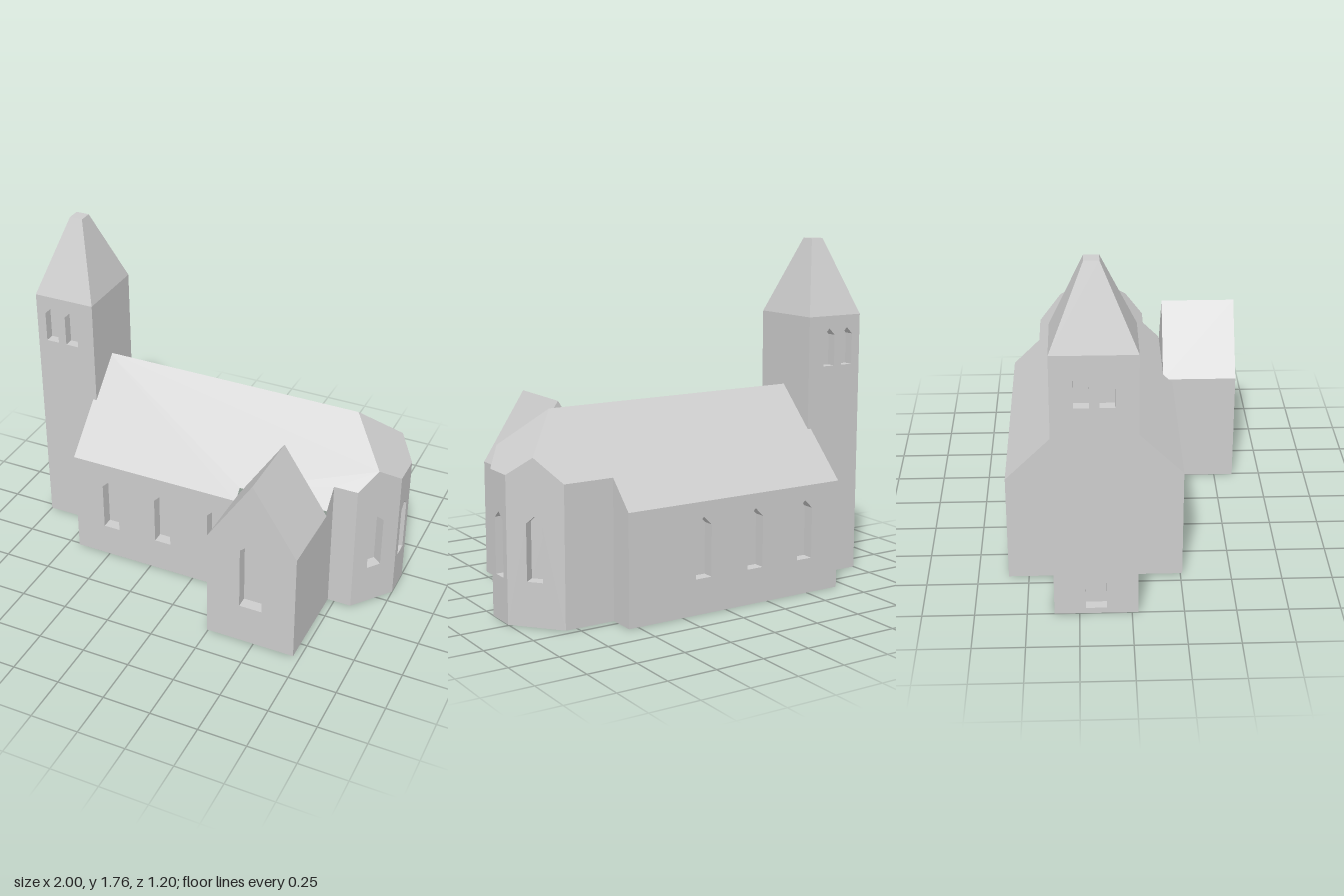
import * as THREE from 'three';
import { mergeGeometries } from 'three/addons/utils/BufferGeometryUtils.js';

const stone = new THREE.MeshStandardMaterial({ color: 0xcccccc });
stone.name = 'pale stone';

const RIDGE_Z = -0.16, RIDGE_END = 0.725;
// Height of the main roof: two 45 degree slopes, plus a hip over the apse
const roofHeight = (x, z) => 1 - Math.max(Math.abs(z - RIDGE_Z), x - RIDGE_END, 0);

const vectors = (pts) => pts.map(([x, y]) => new THREE.Vector2(x, y));

function quad(a, b, c, d) {
  const g = new THREE.BufferGeometry();
  g.setAttribute('position', new THREE.Float32BufferAttribute([a, b, c, a, c, d].flat(), 3));
  g.computeVertexNormals();
  return g;
}

function flat(shape) {
  const g = new THREE.ShapeGeometry(shape).toNonIndexed();
  g.deleteAttribute('uv');
  return g;
}

function addMesh(group, name, geometry) {
  const mesh = new THREE.Mesh(geometry, stone);
  mesh.name = name;
  group.add(mesh);
}

// Wall from ground point a to b (outside on the right), with a top outline
// of [distance, height] points and recessed pointed windows
function addWall(group, name, a, b, top, windows = [], depth = 0.06) {
  const dx = b[0] - a[0], dz = b[1] - a[1], len = Math.hypot(dx, dz);
  const outline = typeof top === 'number' ? [[len, top], [0, top]] : [...top].reverse();
  const shape = new THREE.Shape(vectors([[0, 0], [len, 0], ...outline]));
  const parts = [];
  for (const [c, w, sill, spring, peak] of windows) {
    const l = c - w / 2, r = c + w / 2;
    const hole = [[l, sill], [r, sill], [r, spring], [c, peak], [l, spring]];
    shape.holes.push(new THREE.Path(vectors(hole)));
    parts.push(flat(new THREE.Shape(vectors(hole))).translate(0, 0, -depth));
    hole.forEach((p, i) => {
      const q = hole[(i + 1) % hole.length];
      parts.push(quad([...p, 0], [...q, 0], [...q, -depth], [...p, -depth]));
    });
  }
  const geometry = mergeGeometries([flat(shape), ...parts]);
  geometry.rotateY(Math.atan2(-dz, dx)).translate(a[0], 0, a[1]);
  addMesh(group, name, geometry);
}

// Flat polygon in plan lifted onto the main roof
function addRoof(group, name, plan) {
  const g = flat(new THREE.Shape(vectors(plan.map(([x, z]) => [x, -z]))));
  const p = g.attributes.position;
  for (let i = 0; i < p.count; i++) {
    const x = p.getX(i), z = -p.getY(i);
    p.setXYZ(i, x, roofHeight(x, z), z);
  }
  g.computeVertexNormals();
  addMesh(group, name, g);
}

function addFloor(group, name, plan) {
  addMesh(group, name, flat(new THREE.Shape(vectors(plan))).rotateX(Math.PI / 2));
}

export function createModel() {
  const church = new THREE.Group();
  church.name = 'church';

  // Plan corners of nave, transept and apse
  const southWest = [-0.69, 0.26], southJoin = [0.245, 0.26];
  const frontL = [0.245, 0.6], frontR = [0.715, 0.6], choirStart = [0.715, 0.12];
  const apse = [[0.84, 0.12], [1, -0.08], [1, -0.24], [0.81, -0.46]];
  const choirNorth = [0.55, -0.46], northEast = [0.55, -0.6], northWest = [-0.69, -0.6];
  const lerp = (a, b, t) => [a[0] + (b[0] - a[0]) * t, a[1] + (b[1] - a[1]) * t];
  const dist = (a, b) => Math.hypot(b[0] - a[0], b[1] - a[1]);
  const hipS = lerp(apse[0], apse[1], 0.4583), hipN = lerp(apse[2], apse[3], 0.4756);
  const topOf = (a, ...pts) => pts.map((p) => [dist(a, p), roofHeight(...p)]);
  const ridgeEnd = [RIDGE_END, RIDGE_Z], ridgeWest = [-0.69, RIDGE_Z];

  // Nave and choir walls
  const nave = new THREE.Group();
  nave.name = 'nave';
  const naveX = [-0.48, -0.175, 0.13];
  const naveWindow = (u) => [u, 0.09, 0.18, 0.44, 0.485];
  addWall(nave, 'southWall', southWest, southJoin, 0.58, naveX.map((x) => naveWindow(x + 0.69)));
  addWall(nave, 'northWall', northEast, northWest, 0.56, naveX.map((x) => naveWindow(0.55 - x)));
  addWall(nave, 'westGable', northWest, southWest, topOf(northWest, northWest, ridgeWest, southWest));
  addWall(nave, 'northStep', choirNorth, northEast, topOf(choirNorth, choirNorth, northEast));
  addWall(nave, 'choirSouthWall', choirStart, apse[0], 0.72);
  addWall(nave, 'choirNorthWall', apse[3], choirNorth, 0.7);

  // Apse walls, each with one window
  const apseWindow = (u) => [[u, 0.08, 0.22, 0.5, 0.535]];
  addWall(nave, 'apseSouthEastWall', apse[0], apse[1], topOf(apse[0], apse[0], hipS, apse[1]), apseWindow(0.125));
  addWall(nave, 'apseEastWall', apse[1], apse[2], 0.725, apseWindow(0.08));
  addWall(nave, 'apseNorthEastWall', apse[2], apse[3], topOf(apse[2], apse[2], hipN, apse[3]), apseWindow(0.14));

  // Main roof
  addRoof(nave, 'southRoof', [ridgeWest, southWest, southJoin, [0.245, 0.21], [0.715, 0.21],
    choirStart, apse[0], hipS, ridgeEnd]);
  addRoof(nave, 'northRoof', [ridgeWest, ridgeEnd, hipN, apse[3], choirNorth, northEast, northWest]);
  addRoof(nave, 'apseRoof', [ridgeEnd, hipS, apse[1], apse[2], hipN]);
  addFloor(nave, 'underside', [southWest, southJoin, frontL, frontR, choirStart, ...apse,
    choirNorth, northEast, northWest]);
  church.add(nave);

  // Transept with gables at both ends
  const transept = new THREE.Group();
  transept.name = 'transept';
  const back = 0.21, eave = 0.6, peak = 0.96, mid = 0.48;
  const gable = [[0, eave], [0.235, peak], [0.47, eave]];
  addWall(transept, 'frontGable', frontL, frontR, gable, [[0.235, 0.12, 0.22, 0.565, 0.615]]);
  addWall(transept, 'backGable', [0.715, back], [0.245, back], gable);
  addWall(transept, 'westWall', [0.245, back], frontL, eave);
  addWall(transept, 'eastWall', frontR, choirStart,
    [[0, eave], [0.39, eave], [0.39, 0.63], [0.48, 0.72]]);
  addMesh(transept, 'westRoof', quad([0.245, eave, back], [0.245, eave, 0.6], [mid, peak, 0.6], [mid, peak, back]));
  addMesh(transept, 'eastRoof', quad([0.715, eave, 0.6], [0.715, eave, back], [mid, peak, back], [mid, peak, 0.6]));
  church.add(transept);

  // Tower with belfry windows on three sides and a west door
  const tower = new THREE.Group();
  tower.name = 'tower';
  const base = [[-1, 0.03], [-0.67, 0.03], [-0.67, -0.37], [-1, -0.37]];
  const tip = [[-0.87, -0.14], [-0.8, -0.14], [-0.8, -0.21], [-0.87, -0.21]];
  const belfry = (...us) => us.map((u) => [u, 0.07, 1.11, 1.27, 1.305]);
  const door = [0.2, 0.1, 0.03, 0.17, 0.215];
  const openings = [belfry(0.085, 0.2), [], belfry(0.13, 0.245), [...belfry(0.142, 0.258), door]];
  const at = ([x, z], y) => [x, y, z];
  ['south', 'east', 'north', 'west'].forEach((side, i) => {
    const j = (i + 1) % 4;
    addWall(tower, side + 'TowerWall', base[i], base[j], 1.37, openings[i], 0.05);
    addMesh(tower, side + 'Spire', quad(at(base[i], 1.37), at(base[j], 1.37), at(tip[j], 1.76), at(tip[i], 1.76)));
  });
  addMesh(tower, 'spireTop', quad(...tip.map((p) => at(p, 1.76))));
  addFloor(tower, 'towerUnderside', base);
  church.add(tower);

  return church;
}
